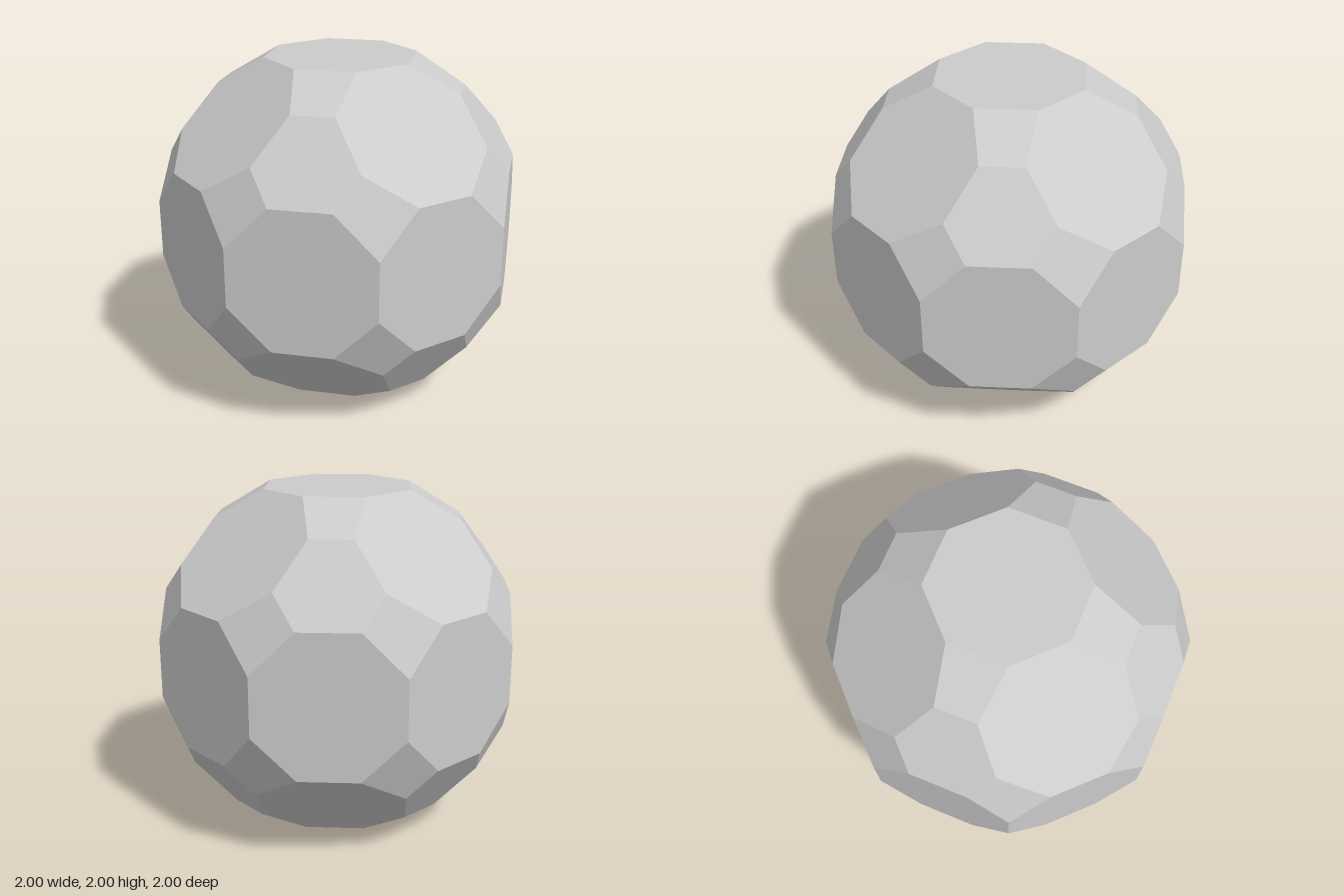
import * as THREE from 'three';
import { ConvexGeometry } from 'three/addons/geometries/ConvexGeometry.js';

// Corners of a rhombicuboctahedron whose lower cap is turned by 45 degrees
function baseCorners(a) {
  const corners = [];
  // Ring of n corners at height y, starting at the given angle
  const ring = (n, radius, y, start) => {
    for (let i = 0; i < n; i++) {
      const t = start + (i * 2 * Math.PI) / n;
      corners.push(new THREE.Vector3(radius * Math.cos(t), y, radius * Math.sin(t)));
    }
  };
  const capRadius = a * Math.SQRT2;
  const beltRadius = Math.hypot(1, a);
  ring(4, capRadius, 1, Math.PI / 4);
  ring(8, beltRadius, a, Math.PI / 8);
  ring(8, beltRadius, -a, Math.PI / 8);
  ring(4, capRadius, -1, 0);
  return corners;
}

export function createModel() {
  const group = new THREE.Group();
  group.name = 'truncatedPolyhedron';

  const a = Math.SQRT2 - 1; // half the edge length
  const cut = 1 - Math.SQRT1_2; // share of each edge cut off, so squares become regular octagons
  const corners = baseCorners(a);

  // Cut every corner: one new point near each end of each edge
  const points = [];
  for (const p of corners) {
    for (const q of corners) {
      if (Math.abs(p.distanceTo(q) - 2 * a) < 1e-4) points.push(p.clone().lerp(q, cut));
    }
  }

  const material = new THREE.MeshStandardMaterial({ color: 0xcccccc, flatShading: true });
  const body = new THREE.Mesh(new ConvexGeometry(points), material);
  body.name = 'facetedBody';
  body.position.y = 1;
  group.add(body);
  return group;
}
